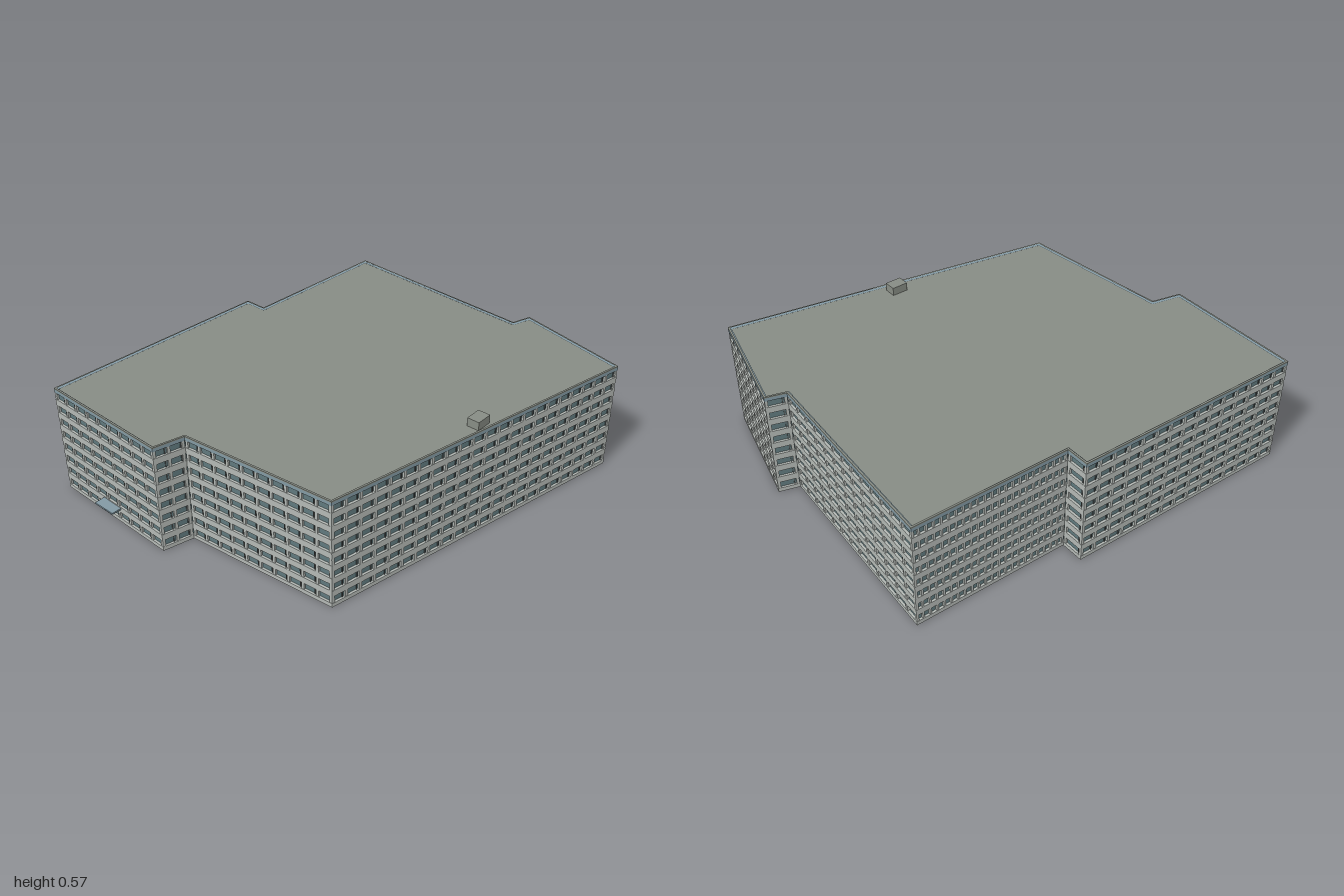
import * as THREE from 'three';
import { mergeGeometries } from 'three/addons/utils/BufferGeometryUtils.js';

// Building footprint as [x, z]
const OUTLINE = [
  [-0.94, -0.89], [0.21, -0.84], [0.21, -0.73], [0.955, -0.70], [0.90, 0.29],
  [0.995, 0.32], [0.865, 0.885], [-0.745, 0.575], [-0.815, -0.175], [-0.96, -0.21],
].map(([x, z]) => new THREE.Vector2(x, z));
const DENSE_WALL = 2; // the wall with closely spaced piers

const FLOORS = 8, PITCH = 0.0664, SILL = 0.02, WINDOW_H = 0.035;
const TOP = 0.541, ROOF = 0.53, RECESS = 0.011;

const edgeOf = (i) => {
  const a = OUTLINE[i], b = OUTLINE[(i + 1) % OUTLINE.length];
  const dir = b.clone().sub(a), length = dir.length();
  dir.normalize();
  return { a, dir, length, inward: new THREE.Vector2(-dir.y, dir.x) };
};

// Footprint moved inward by d with mitred corners
function inset(d) {
  return OUTLINE.map((p, i) => {
    const n1 = edgeOf((i + OUTLINE.length - 1) % OUTLINE.length).inward;
    const n2 = edgeOf(i).inward;
    return p.clone().addScaledVector(n1.clone().add(n2), d / (1 + n1.dot(n2)));
  });
}

const flip = (pts) => pts.map((p) => new THREE.Vector2(p.x, -p.y));

// Upright prism between y0 and y1; a ring when width is given
function prism(y0, y1, d = 0, width = 0) {
  const shape = new THREE.Shape(flip(inset(d)));
  if (width) shape.holes.push(new THREE.Path(flip(inset(d + width))));
  return new THREE.ExtrudeGeometry(shape, { depth: y1 - y0, bevelEnabled: false })
    .rotateX(-Math.PI / 2).translate(0, y0, 0);
}

// Vertical strips spread along one wall
function strips(i, pitch, width, depth, setback, offset = 0) {
  const { a, dir, length, inward } = edgeOf(i);
  const bays = Math.max(1, Math.round(length / pitch));
  const list = [];
  for (let k = 0; k <= bays - (offset ? 1 : 0); k++) {
    const t = THREE.MathUtils.clamp((k + offset) * length / bays, width / 2 + 0.001, length - width / 2 - 0.001);
    const p = a.clone().addScaledVector(dir, t).addScaledVector(inward, setback + depth / 2);
    list.push(new THREE.BoxGeometry(width, TOP - 0.022, depth)
      .rotateY(-Math.atan2(dir.y, dir.x)).translate(p.x, (TOP - 0.02) / 2, p.y));
  }
  return list;
}

export function createModel() {
  const group = new THREE.Group();
  const mat = (color) => new THREE.MeshStandardMaterial({ color });
  const concrete = mat(0xb3b8b4), glass = mat(0x60797d), frame = mat(0x565c5c);
  const roofGrey = mat(0x878c84), trim = mat(0x8299a3);
  const add = (name, geometry, material) => {
    const mesh = new THREE.Mesh(geometry, material);
    mesh.name = name;
    group.add(mesh);
    return mesh;
  };

  // Recessed glazing
  add('glazing', prism(0.004, TOP - 0.02, RECESS), glass);

  // Ground slab and spandrel bands between the floors
  add('groundSlab', prism(0, SILL), concrete);
  const bands = [];
  for (let f = 0; f < FLOORS - 1; f++) {
    const y = SILL + f * PITCH + WINDOW_H;
    bands.push(prism(y, y + PITCH - WINDOW_H, 0, RECESS + 0.004));
  }
  add('spandrelBands', mergeGeometries(bands), concrete);

  // Piers and thin window mullions on every wall
  const piers = [], mullions = [];
  OUTLINE.forEach((_, i) => {
    const dense = i === DENSE_WALL;
    piers.push(...strips(i, dense ? 0.034 : 0.075, dense ? 0.009 : 0.013, RECESS, 0.001));
    if (!dense) mullions.push(...strips(i, 0.075, 0.004, 0.006, 0.007, 0.22));
  });
  add('piers', mergeGeometries(piers), concrete);
  add('windowMullions', mergeGeometries(mullions), frame);

  // Roof edge trim, parapet and roof deck
  add('roofTrim', prism(TOP - 0.022, TOP - 0.006, 0, RECESS + 0.004), trim);
  add('parapet', prism(TOP - 0.006, TOP, 0, 0.009), roofGrey);
  add('roofDeck', prism(ROOF - 0.01, ROOF, 0.008), roofGrey);

  // Rooftop unit
  add('rooftopUnit', new THREE.BoxGeometry(0.08, 0.04, 0.06), roofGrey).position.set(0.07, 0.55, 0.675);

  // Entrance canopy on the side wall
  add('entranceCanopy', new THREE.BoxGeometry(0.06, 0.008, 0.12), trim).position.set(-0.97, 0.077, -0.555);

  return group;
}
